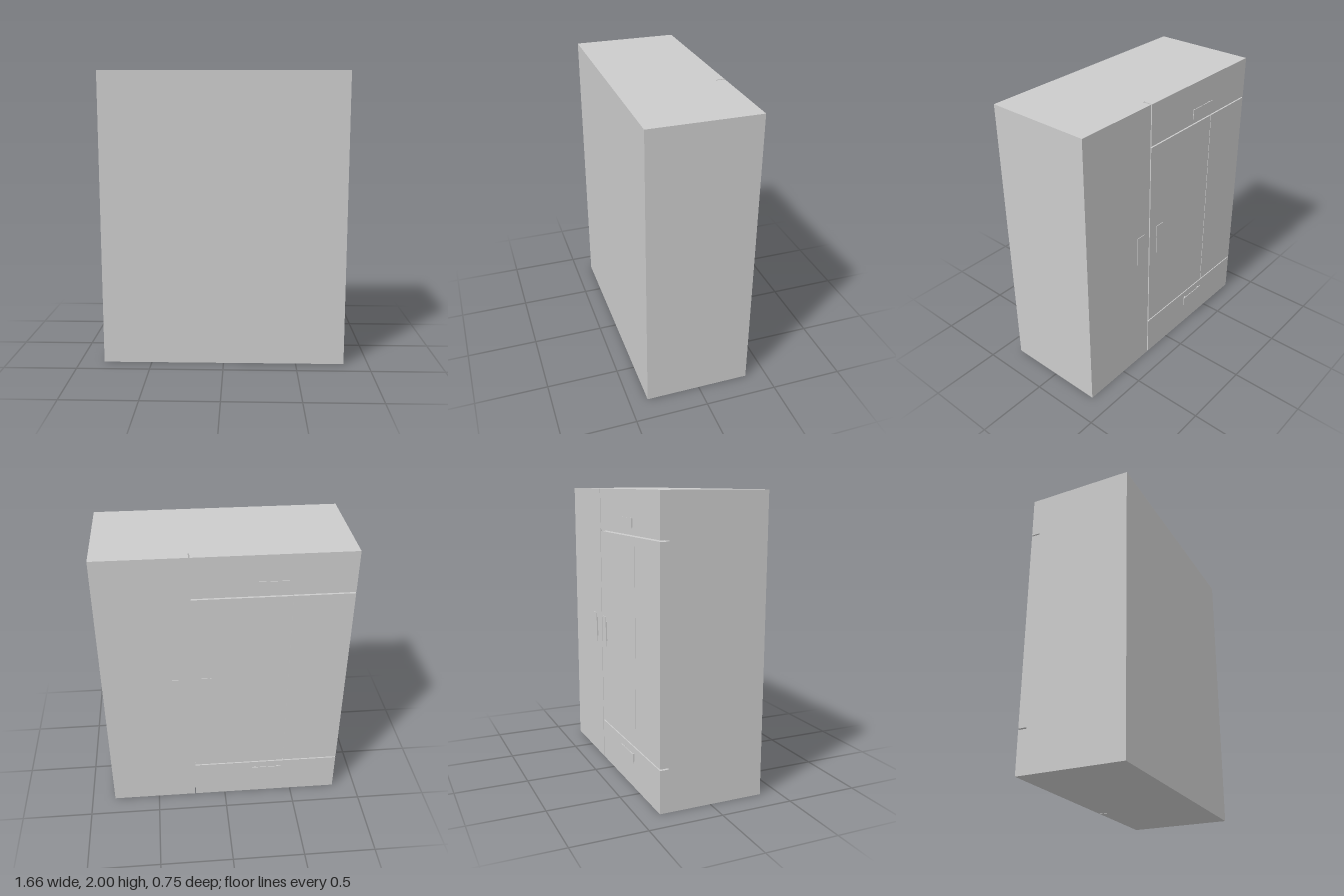
import * as THREE from 'three';

const material = new THREE.MeshStandardMaterial({ color: 0xcccccc });

// Box given by its extents along each axis
function box(name, [x0, x1], [y0, y1], [z0, z1]) {
  const mesh = new THREE.Mesh(new THREE.BoxGeometry(x1 - x0, y1 - y0, z1 - z0), material);
  mesh.name = name;
  mesh.position.set((x0 + x1) / 2, (y0 + y1) / 2, (z0 + z1) / 2);
  return mesh;
}

export function createModel() {
  const model = new THREE.Group();
  model.name = 'wardrobe';

  const W = 0.832, H = 2;
  const Z = { carcass: 0.373, panel: -0.295, face: -0.356, plate: -0.369, handle: -0.373 };
  const front = [Z.face, Z.panel];

  // Carcass behind the doors
  model.add(box('carcass', [-W, W], [0, H], [Z.panel, Z.carcass]));

  // Doors and drawers, separated by narrow gaps
  const tall = [0.228, W], wide = [-W, 0.219];
  const middle = [0.299, 1.704];
  model.add(
    box('tallDoor', tall, [0, H], front),
    box('lowerDrawer', wide, [0, 0.29], front),
    box('upperDrawer', wide, [1.713, H], front),
    box('middleDoor', [-0.43, wide[1]], middle, front),
    box('sideDoor', [-W, -0.435], middle, front)
  );

  const neck = [Z.plate, Z.face], plate = [Z.handle, Z.plate];

  // Upright door handles: a plate on a solid neck
  for (const x of [0.13, 0.33]) {
    const handle = new THREE.Group();
    handle.name = 'doorHandle';
    handle.add(
      box('handlePlate', [x - 0.034, x + 0.034], [0.885, 1.1], plate),
      box('handleNeck', [x - 0.014, x + 0.014], [0.92, 1.06], neck)
    );
    model.add(handle);
  }

  // Drawer handles: a plate on two posts
  for (const y of [0.216, 1.79]) {
    const handle = new THREE.Group();
    handle.name = 'drawerHandle';
    handle.add(box('handlePlate', [-0.416, -0.202], [y - 0.034, y + 0.034], plate));
    for (const x of [-0.394, -0.226]) {
      handle.add(box('handlePost', [x - 0.006, x + 0.006], [y - 0.028, y + 0.028], neck));
    }
    model.add(handle);
  }

  return model;
}
